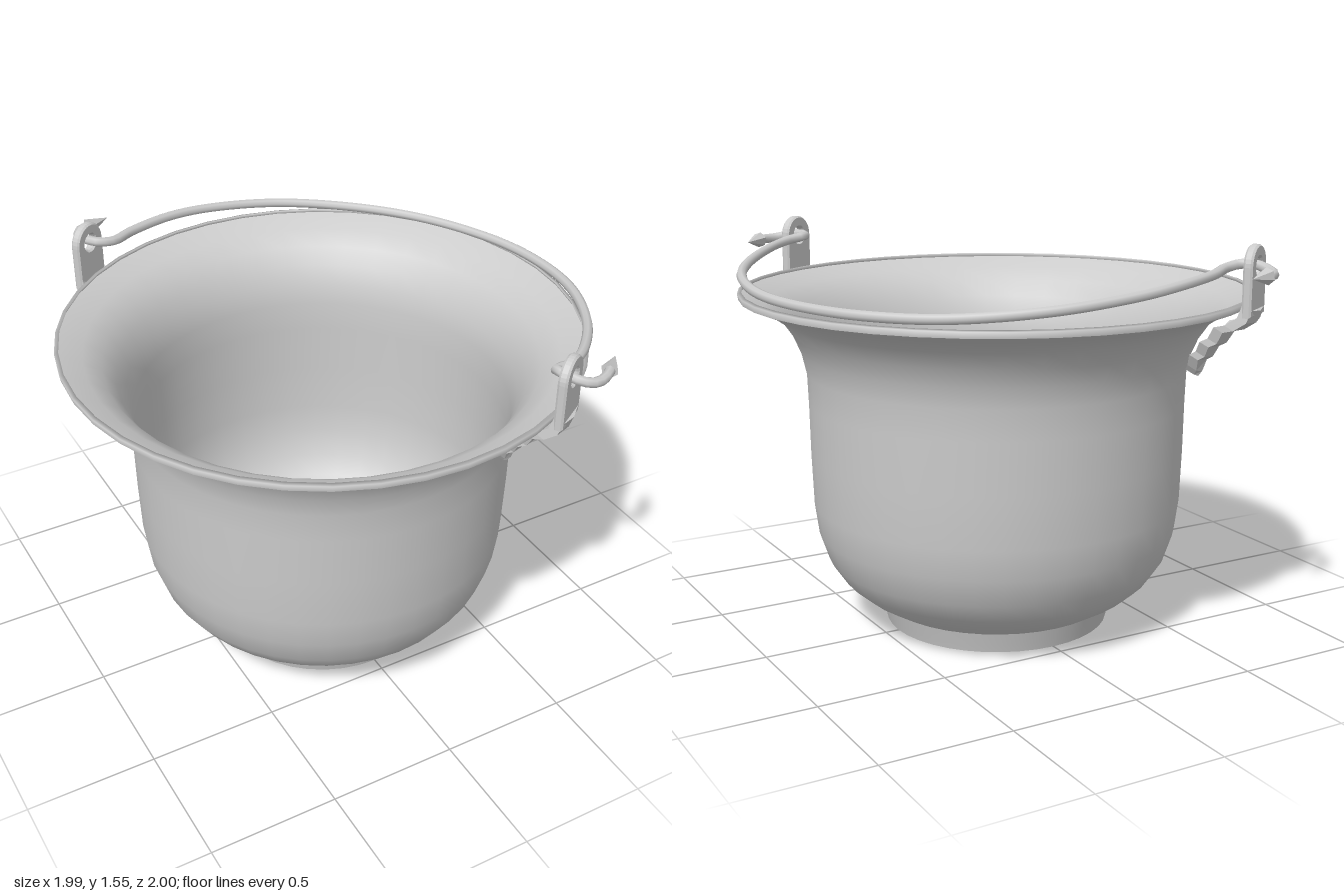
import * as THREE from 'three';

const smooth = new THREE.MeshStandardMaterial({ color: 0xcccccc, side: THREE.DoubleSide });
const faceted = new THREE.MeshStandardMaterial({ color: 0xcccccc, flatShading: true });

function add(parent, name, geometry, material) {
  const mesh = new THREE.Mesh(geometry, material);
  mesh.name = name;
  parent.add(mesh);
  return mesh;
}

const vecs2 = (list) => list.map(([x, y]) => new THREE.Vector2(x, y));
const lathe = (points) => new THREE.LatheGeometry(vecs2(points), 40);

// Thin-walled pot with a foot and a flared rim
function makePot() {
  const pot = new THREE.Group();
  pot.name = 'pot';
  const wall = [
    [0.465, 0.08], [0.55, 0.13], [0.62, 0.19], [0.675, 0.27], [0.712, 0.38], [0.728, 0.5],
    [0.735, 0.7], [0.738, 0.9], [0.742, 1.02], [0.76, 1.1], [0.79, 1.17], [0.835, 1.235],
    [0.9, 1.28], [0.99, 1.315],
  ];
  // Inner wall: the outer one pushed inward along its normals
  const t = 0.012;
  const inner = wall.map(([r, y], i) => {
    const a = wall[Math.max(i - 1, 0)], b = wall[Math.min(i + 1, wall.length - 1)];
    const dr = b[0] - a[0], dy = b[1] - a[1], len = Math.hypot(dr, dy);
    return [r - (t * dy) / len, y + (t * dr) / len];
  });
  const top = inner[inner.length - 1];
  add(pot, 'outerWall', lathe(wall), smooth);
  add(pot, 'foot', lathe([[0.445, 0], [0.452, 0.03], [0.465, 0.08]]), smooth);
  add(pot, 'base', lathe([[0, 0], [0.445, 0]]), smooth);
  add(pot, 'rim', lathe([[0.99, 1.315], [0.994, 1.338], [0.978, 1.342], top]), smooth);
  add(pot, 'innerWall', lathe([...inner].reverse()), smooth);
  add(pot, 'floor', lathe([inner[0], [0.44, 0.05], [0, 0.05]]), smooth);
  return pot;
}

// Ear: pierced plate above the rim, tapering ribbed strap below it
function makeEar(name, x, z, angle) {
  const ear = new THREE.Group();
  ear.name = name;

  const w = 0.072, eyeY = 1.475;
  const shape = new THREE.Shape();
  shape.moveTo(-w, 1.3);
  shape.lineTo(w, 1.3);
  shape.lineTo(w, eyeY);
  shape.absarc(0, eyeY, w, 0, Math.PI, false);
  shape.lineTo(-w, 1.3);
  const hole = new THREE.Path();
  hole.absarc(0, eyeY, 0.04, 0, Math.PI * 2, true);
  shape.holes.push(hole);
  const plate = new THREE.ExtrudeGeometry(shape, {
    depth: 0.02, curveSegments: 8, bevelThickness: 0.008, bevelSize: 0.006, bevelSegments: 1,
  });
  plate.translate(0, 0, -0.01);
  add(ear, 'earPlate', plate, faceted);

  // Strap rows: [offset outward, height, half width]
  const rows = [
    [0, 1.33, 0.072], [-0.015, 1.285, 0.078], [-0.06, 1.255, 0.084], [-0.1, 1.245, 0.084],
    [-0.125, 1.2, 0.072], [-0.155, 1.185, 0.074], [-0.175, 1.145, 0.056], [-0.2, 1.13, 0.056],
    [-0.215, 1.085, 0.03], [-0.23, 1.065, 0.012],
  ];
  const n = rows.length - 1;
  const strap = new THREE.BoxGeometry(2, 1, 1, 2, n, 1);
  const p = strap.attributes.position;
  for (let i = 0; i < p.count; i++) {
    const [out, y, half] = rows[Math.round((0.5 - p.getY(i)) * n)];
    const across = p.getX(i);
    const lift = p.getZ(i) * 0.035 + 0.012 * (1 - Math.abs(across));
    p.setXYZ(i, across * half, y - lift * 0.5, out + lift);
  }
  add(ear, 'earStrap', strap, faceted);

  ear.position.set(x, 0, z);
  ear.rotation.y = angle;
  return ear;
}

// Bail handle folded down on the left rim, hooked through both ears
function makeHandle() {
  const handle = new THREE.Group();
  handle.name = 'handle';
  const path = [
    [-0.52, 1.46, -0.975], [-0.575, 1.46, -0.955], [-0.605, 1.465, -0.9], [-0.6, 1.48, -0.83],
    [-0.565, 1.48, -0.785], [-0.5, 1.47, -0.785], [-0.4, 1.46, -0.845], [-0.2, 1.445, -0.92],
    [0, 1.425, -0.945], [0.3, 1.395, -0.9], [0.6, 1.37, -0.735], [0.8, 1.365, -0.51],
    [0.93, 1.37, -0.22], [0.965, 1.38, 0.03], [0.925, 1.4, 0.3], [0.8, 1.42, 0.56],
    [0.62, 1.45, 0.76], [0.52, 1.465, 0.82], [0.45, 1.475, 0.835], [0.455, 1.48, 0.88],
    [0.49, 1.47, 0.935], [0.54, 1.46, 0.95], [0.6, 1.46, 0.93], [0.635, 1.46, 0.9],
  ];
  const curve = new THREE.CatmullRomCurve3(path.map((q) => new THREE.Vector3(...q)));
  add(handle, 'bail', new THREE.TubeGeometry(curve, 120, 0.019, 8), smooth);

  // Pointed tips on the hooks
  for (const [u, sign] of [[0, -1], [1, 1]]) {
    const cone = new THREE.ConeGeometry(0.032, 0.1, 6);
    const tip = add(handle, 'hookTip', cone, faceted);
    const dir = curve.getTangentAt(u).multiplyScalar(sign);
    tip.position.copy(curve.getPointAt(u)).addScaledVector(dir, 0.035);
    tip.quaternion.setFromUnitVectors(new THREE.Vector3(0, 1, 0), dir);
  }
  return handle;
}

export function createModel() {
  const model = new THREE.Group();
  model.name = 'bucket';
  const turn = THREE.MathUtils.degToRad(32);
  model.add(
    makePot(),
    makeEar('frontEar', 0.47, 0.89, turn),
    makeEar('backEar', -0.6, -0.82, turn + Math.PI),
    makeHandle(),
  );
  return model;
}
